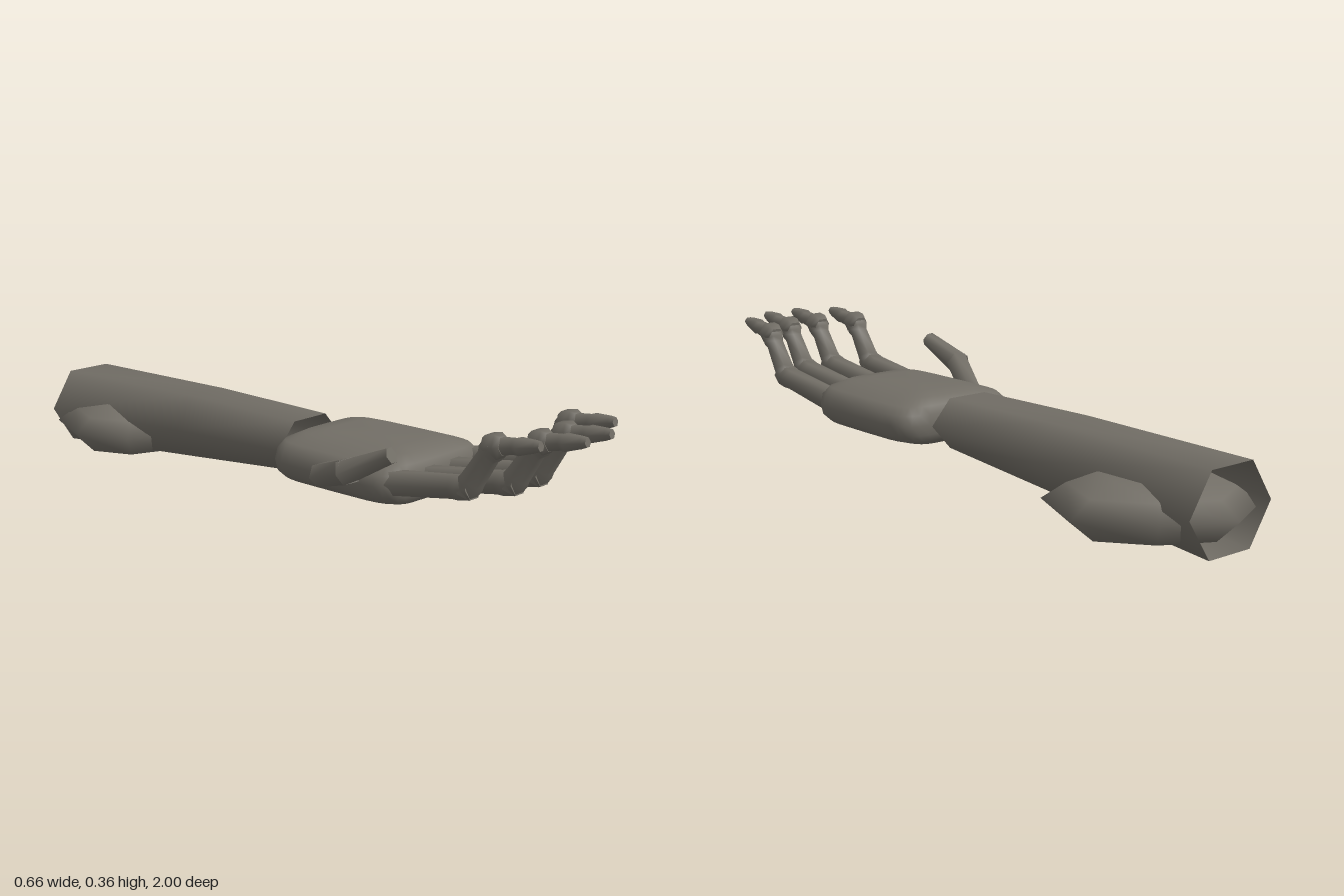
import * as THREE from 'three';

const V = (x, y, z) => new THREE.Vector3(x, y, z);
const grey = new THREE.MeshStandardMaterial({ color: 0x726e66 });
grey.name = 'warm grey';
const greyOpen = new THREE.MeshStandardMaterial({ color: 0x726e66, side: THREE.DoubleSide });
greyOpen.name = 'warm grey open shell';

// Skins equal-length rings (counter-clockwise about the travel direction).
// Caps use their own vertices so end edges stay sharp; softCaps shares them.
function loft(name, rings, { caps = true, softCaps = false, material = grey } = {}) {
  const pos = [], index = [];
  const n = rings[0].length;
  const add = (p) => pos.push(p.x, p.y, p.z) / 3 - 1;
  rings.forEach((ring) => ring.forEach(add));
  for (let i = 0; i < rings.length - 1; i++) {
    for (let j = 0; j < n; j++) {
      const k = (j + 1) % n;
      const a = i * n + j, b = i * n + k, c = a + n, d = b + n;
      index.push(a, b, c, b, d, c);
    }
  }
  if (caps) {
    [0, rings.length - 1].forEach((r, end) => {
      const mid = V(0, 0, 0);
      rings[r].forEach((p) => mid.addScaledVector(p, 1 / n));
      const centre = add(mid);
      const ids = rings[r].map((p, j) => (softCaps ? r * n + j : add(p)));
      for (let j = 0; j < n; j++) {
        const k = (j + 1) % n;
        if (end) index.push(centre, ids[j], ids[k]);
        else index.push(centre, ids[k], ids[j]);
      }
    });
  }
  const geo = new THREE.BufferGeometry();
  geo.setAttribute('position', new THREE.Float32BufferAttribute(pos, 3));
  geo.setIndex(index);
  geo.computeVertexNormals();
  const mesh = new THREE.Mesh(geo, material);
  mesh.name = name;
  return mesh;
}

// Six-sided rod from a to b; stations are [fraction along, radius].
function rod(name, a, b, stations) {
  const d = b.clone().sub(a).normalize();
  const u = V(1, 0, 0).addScaledVector(d, -d.x).normalize();
  const v = d.clone().cross(u);
  return loft(name, stations.map(([t, r]) =>
    Array.from({ length: 6 }, (_, j) => {
      const ang = (j * Math.PI) / 3;
      return a.clone().lerp(b, t)
        .addScaledVector(u, r * Math.cos(ang))
        .addScaledVector(v, r * Math.sin(ang));
    })));
}

// Open six-sided sleeve tapering to the wrist
function forearm() {
  const sections = [[-0.97, 0.15, 0.002, 0.23], [-0.4, 0.135, 0.05, 0.24], [0.03, 0.13, 0.088, 0.234]];
  const rings = sections.map(([z, w, lo, hi]) =>
    Array.from({ length: 6 }, (_, j) => {
      const a = (j * Math.PI) / 3;
      return V(0.02 + w * Math.cos(a), (lo + hi) / 2 + ((hi - lo) / 2) * Math.sin(a) / 0.866, z);
    }));
  return loft('forearm', rings, { caps: false, material: greyOpen });
}

// Flattened faceted bulge through the elbow end
function elbowMuscle() {
  const outline = [[0.02, -0.5], [0.245, -0.53], [0.33, -0.73], [0.2, -0.9],
    [0.02, -1], [-0.15, -0.92], [-0.23, -0.73], [-0.16, -0.57]];
  const levels = [[0.008, 0.42], [0.026, 0.74], [0.092, 1], [0.135, 0.78], [0.165, 0.5]];
  const rings = levels.map(([y, s]) =>
    outline.map(([x, z]) => V(0.03 + (x - 0.03) * s, y, -0.73 + (z + 0.73) * s)));
  return loft('elbowMuscle', rings, { softCaps: true });
}

// Pillow-shaped palm: rounded-square outline stacked by height
function palm() {
  const levels = [[-0.077, 0.35, 0.55], [-0.07, 0.6, 0.8], [-0.052, 0.86, 0.94], [-0.03, 0.97, 0.985]];
  const all = [...levels, [0, 1, 1], ...levels.map(([y, a, b]) => [-y, a, b]).reverse()];
  const soft = (t) => Math.sign(t) * Math.pow(Math.abs(t), 0.36);
  const rings = all.map(([y, sx, sz]) =>
    Array.from({ length: 32 }, (_, j) => {
      const a = (j / 32) * Math.PI * 2;
      return V(0.02 + 0.219 * sx * soft(Math.sin(a)), 0.16 + y, 0.285 + 0.236 * sz * soft(Math.cos(a)));
    }));
  return loft('palm', rings, { softCaps: true });
}

// Finger: three rods with thicker joints; reach shifts it forward
function finger(name, x, reach) {
  const g = new THREE.Group();
  g.name = name;
  const base = V(x, 0.163, 0.45 + reach), knuckle = V(x, 0.205, 0.725 + reach);
  const joint = V(x, 0.328, 0.805 + reach), tip = V(x, 0.351, 0.94 + reach);
  g.add(
    rod('lowerSegment', base, knuckle, [[0, 0.037], [0.85, 0.033], [0.93, 0.036], [1.06, 0.034]]),
    rod('middleSegment', knuckle, joint, [[-0.1, 0.034], [0.08, 0.036], [0.18, 0.033], [0.75, 0.029], [0.85, 0.035], [1.04, 0.034]]),
    rod('joint', joint, tip, [[-0.2, 0.026], [-0.1, 0.036], [0.1, 0.036], [0.2, 0.026]]),
    rod('fingertip', joint, tip, [[0, 0.026], [0.45, 0.022], [0.55, 0.025], [0.9, 0.017], [1, 0.013]]),
  );
  return g;
}

// Two-part thumb on the model's right side
function thumb() {
  const g = new THREE.Group();
  g.name = 'thumb';
  const base = V(-0.212, 0.163, 0.285), bend = V(-0.295, 0.225, 0.455), tip = V(-0.276, 0.288, 0.583);
  g.add(
    rod('thumbBase', base, bend, [[0, 0.035], [1.03, 0.037]]),
    rod('thumbTip', bend, tip, [[-0.1, 0.037], [1, 0.023]]),
  );
  return g;
}

export function createModel() {
  const model = new THREE.Group();
  model.name = 'arm';
  model.add(forearm(), elbowMuscle(), palm(), thumb());
  [-0.145, -0.035, 0.073, 0.183].forEach((x, i) => {
    model.add(finger('finger' + (i + 1), x, i === 1 || i === 2 ? 0.06 : 0));
  });
  return model;
}
